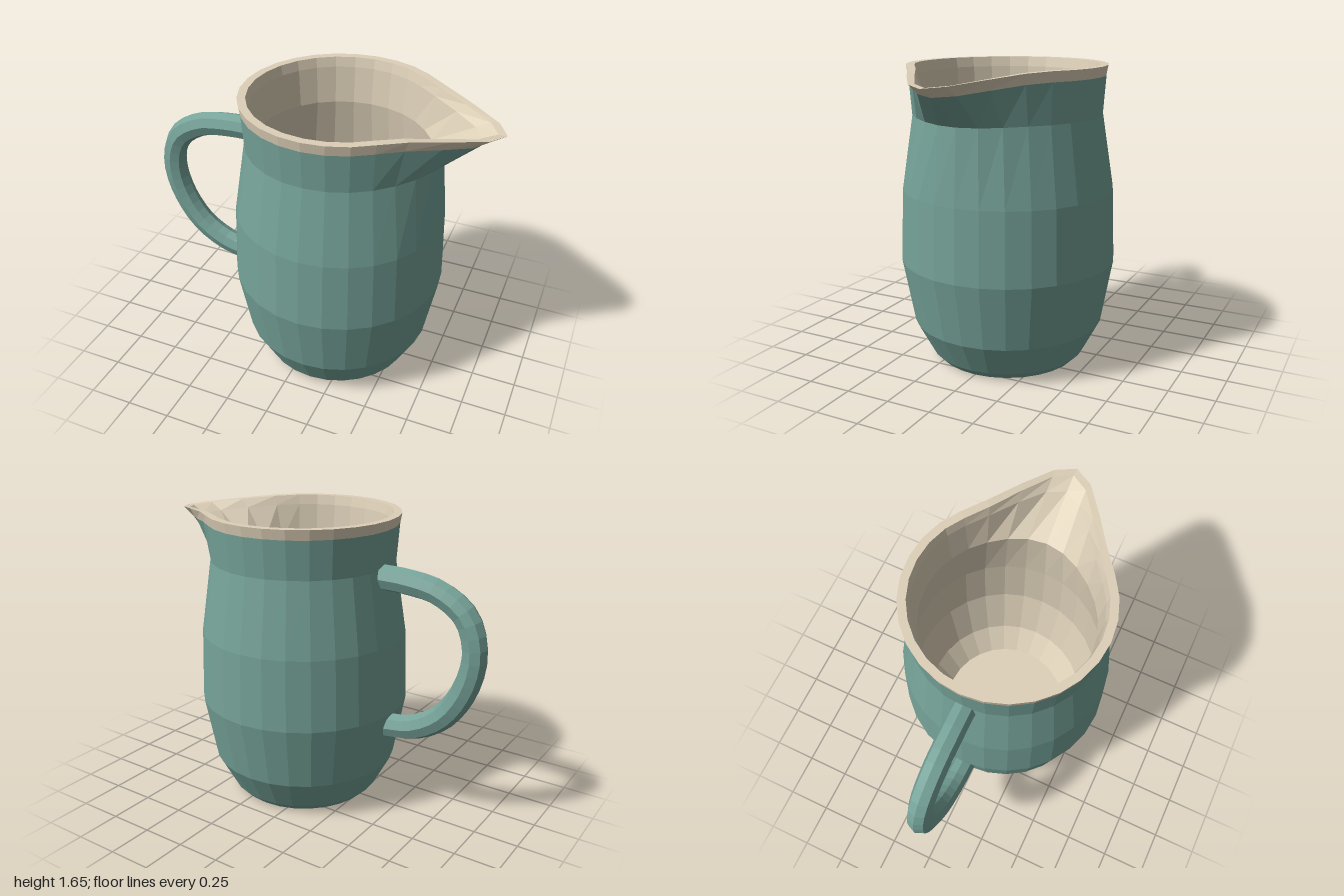
import * as THREE from 'three';

const SIDES = 28;
const AXIS = 0.135; // the body sits off-centre, balancing handle and spout
const SPOUT_ANGLE = THREE.MathUtils.degToRad(50);

// Point on a ring [radius, y, spout push, spout dip]; the spout pulls it out along +x
function ringPoint([r, y, push = 0, dip = 0], i) {
  const k = i % SIDES;
  const a = (k > SIDES / 2 ? k - SIDES : k) * 2 * Math.PI / SIDES;
  const w = Math.abs(a) < SPOUT_ANGLE ? Math.cos(a / SPOUT_ANGLE * Math.PI / 2) ** 2 : 0;
  return [AXIS + r * Math.cos(a) + push * w, y - dip * w, r * Math.sin(a) * (1 - 0.55 * push * w)];
}

// Skin between consecutive rings; a ring of radius 0 closes the surface
function loft(rings) {
  const pos = [];
  for (let j = 0; j < rings.length - 1; j++) {
    for (let i = 0; i < SIDES; i++) {
      const a = ringPoint(rings[j], i), b = ringPoint(rings[j], i + 1);
      const c = ringPoint(rings[j + 1], i + 1), d = ringPoint(rings[j + 1], i);
      if (rings[j][0] > 0) pos.push(...a, ...d, ...b);
      if (rings[j + 1][0] > 0) pos.push(...d, ...c, ...b);
    }
  }
  const geo = new THREE.BufferGeometry();
  geo.setAttribute('position', new THREE.Float32BufferAttribute(pos, 3));
  geo.computeVertexNormals();
  return geo;
}

export function createModel() {
  const group = new THREE.Group();
  const glaze = new THREE.MeshStandardMaterial({ color: 0x75a298, flatShading: true });
  const cream = new THREE.MeshStandardMaterial({ color: 0xddd0b8, flatShading: true });
  const add = (name, geo, mat) => {
    const mesh = new THREE.Mesh(geo, mat);
    mesh.name = name;
    group.add(mesh);
    return mesh;
  };

  // Outside, from the base up to the rim band
  const bandBottom = [0.535, 1.6, 0.24, 0.05];
  add('body', loft([
    [0, 0], [0.4, 0], [0.44, 0.04], [0.535, 0.22], [0.6, 0.58], [0.585, 0.98],
    [0.52, 1.39, 0.035, 0.008], bandBottom,
  ]), glaze);

  // Rim band and its flat top
  const lipInner = [0.5, 1.655, 0.32, 0.055];
  add('rim', loft([bandBottom, [0.545, 1.655, 0.32, 0.055], lipInner]), cream);

  // Inside wall and floor
  add('interior', loft([
    lipInner, [0.488, 1.6, 0.25, 0.04], [0.47, 1.39, 0.035, 0.008], [0.535, 0.98],
    [0.55, 0.58], [0.485, 0.23], [0.385, 0.06], [0, 0.06],
  ]), cream);

  // Handle: an eight-sided tube whose ends are buried in the wall
  const path = new THREE.CatmullRomCurve3([
    [-0.37, 1.35], [-0.53, 1.347], [-0.72, 1.315], [-0.875, 1.21], [-0.932, 1.03],
    [-0.89, 0.82], [-0.77, 0.635], [-0.6, 0.53], [-0.425, 0.5],
  ].map(([x, y]) => new THREE.Vector3(x, y, 0)));
  const handle = add('handle', new THREE.TubeGeometry(path, 24, 0.071, 8), glaze);
  handle.scale.z = 0.92;

  return group;
}
